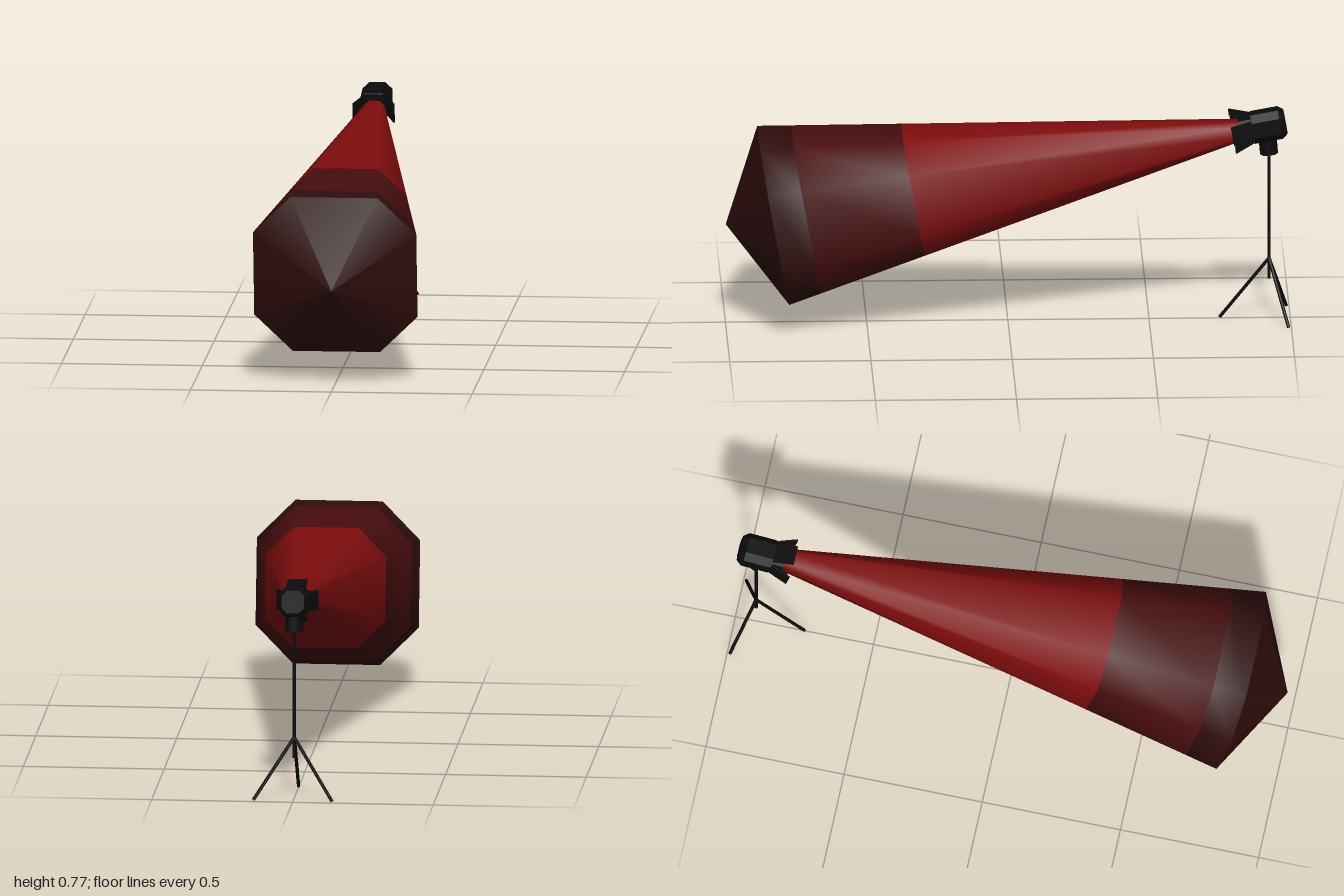
import * as THREE from 'three';

const red = new THREE.MeshStandardMaterial({ color: 0x800d0d });
red.name = 'beam red';
const mid = new THREE.MeshStandardMaterial({ color: 0x480d0e });
mid.name = 'fading red';
const dark = new THREE.MeshStandardMaterial({ color: 0x300d0e });
dark.name = 'faint red';
const black = new THREE.MeshStandardMaterial({ color: 0x0b0b0c });
black.name = 'black metal';

// Eight-sided loft along z through rings of [z, half width]
function loft(rings) {
  const k = 0.534;
  const outline = [[1, -k], [1, k], [k, 1], [-k, 1], [-1, k], [-1, -k], [-k, -1], [k, -1]];
  const pos = [], index = [];
  rings.forEach(([z, r], i) => {
    outline.forEach(([x, y], j) => {
      pos.push(x * r, y * r, z);
      if (i === rings.length - 1) return;
      const a = i * 8 + j, b = i * 8 + (j + 1) % 8;
      index.push(a, b, b + 8, a, b + 8, a + 8);
    });
  });
  const g = new THREE.BufferGeometry();
  g.setAttribute('position', new THREE.Float32BufferAttribute(pos, 3));
  g.setIndex(index);
  g.computeVertexNormals();
  return g;
}

function flat(g) {
  const f = g.toNonIndexed();
  f.computeVertexNormals();
  return f;
}

function add(parent, name, geometry, material) {
  const mesh = new THREE.Mesh(geometry, material);
  mesh.name = name;
  parent.add(mesh);
  return mesh;
}

// Round rod between two points
function rod(parent, name, from, to, radius) {
  const a = new THREE.Vector3(...from), b = new THREE.Vector3(...to);
  const dir = b.clone().sub(a);
  const mesh = add(parent, name, new THREE.CylinderGeometry(radius, radius, dir.length(), 8), black);
  mesh.position.copy(a).add(b).multiplyScalar(0.5);
  mesh.quaternion.setFromUnitVectors(new THREE.Vector3(0, 1, 0), dir.normalize());
}

export function createModel() {
  const model = new THREE.Group();
  model.name = 'spotlight';

  // Tilted head carrying the lamp and its beam
  const head = new THREE.Group();
  head.name = 'head';
  head.position.set(0, 0.711, -0.92);
  head.rotation.x = 0.18;
  model.add(head);

  // Beam in three fading lengths, closed by a shallow point
  const radius = s => 0.036 + (s - 0.1) * 0.1513;
  const part = (a, b) => loft([[a, radius(a)], [b, radius(b)]]);
  add(head, 'nearBeam', part(0.1, 1.276), red);
  add(head, 'middleBeam', part(1.276, 1.66), mid);
  add(head, 'farBeam', part(1.66, 1.779), dark);
  add(head, 'beamEnd', loft([[1.779, radius(1.779)], [1.95, 0.0005]]), dark);

  // Lamp housing and front barrel
  add(head, 'housing', flat(loft([
    [-0.064, 0.0005], [-0.064, 0.04], [-0.045, 0.053], [0.055, 0.053], [0.055, 0.0005]
  ])), black);
  add(head, 'barrel', flat(loft([[0.05, 0.036], [0.13, 0.036], [0.13, 0.0005]])), black);

  // Four flaps splayed around the barrel
  for (let i = 0; i < 4; i++) {
    const turn = new THREE.Group();
    turn.name = 'flapMount';
    turn.rotation.z = i * Math.PI / 2;
    const flap = add(turn, 'flap', new THREE.BoxGeometry(0.07, 0.006, 0.08), black);
    flap.position.set(0, 0.058, 0.09);
    flap.rotation.x = -0.36;
    head.add(turn);
  }

  // Mount and stand
  rod(model, 'mount', [0, 0.69, -0.918], [0, 0.605, -0.925], 0.032);
  rod(model, 'pole', [0, 0.64, -0.925], [0, 0.145, -0.925], 0.006);
  for (const [x, z] of [[0, -0.75], [0.14, -0.99], [-0.14, -0.99]]) {
    rod(model, 'leg', [0, 0.22, -0.925], [x, 0.004, z], 0.006);
  }
  return model;
}
